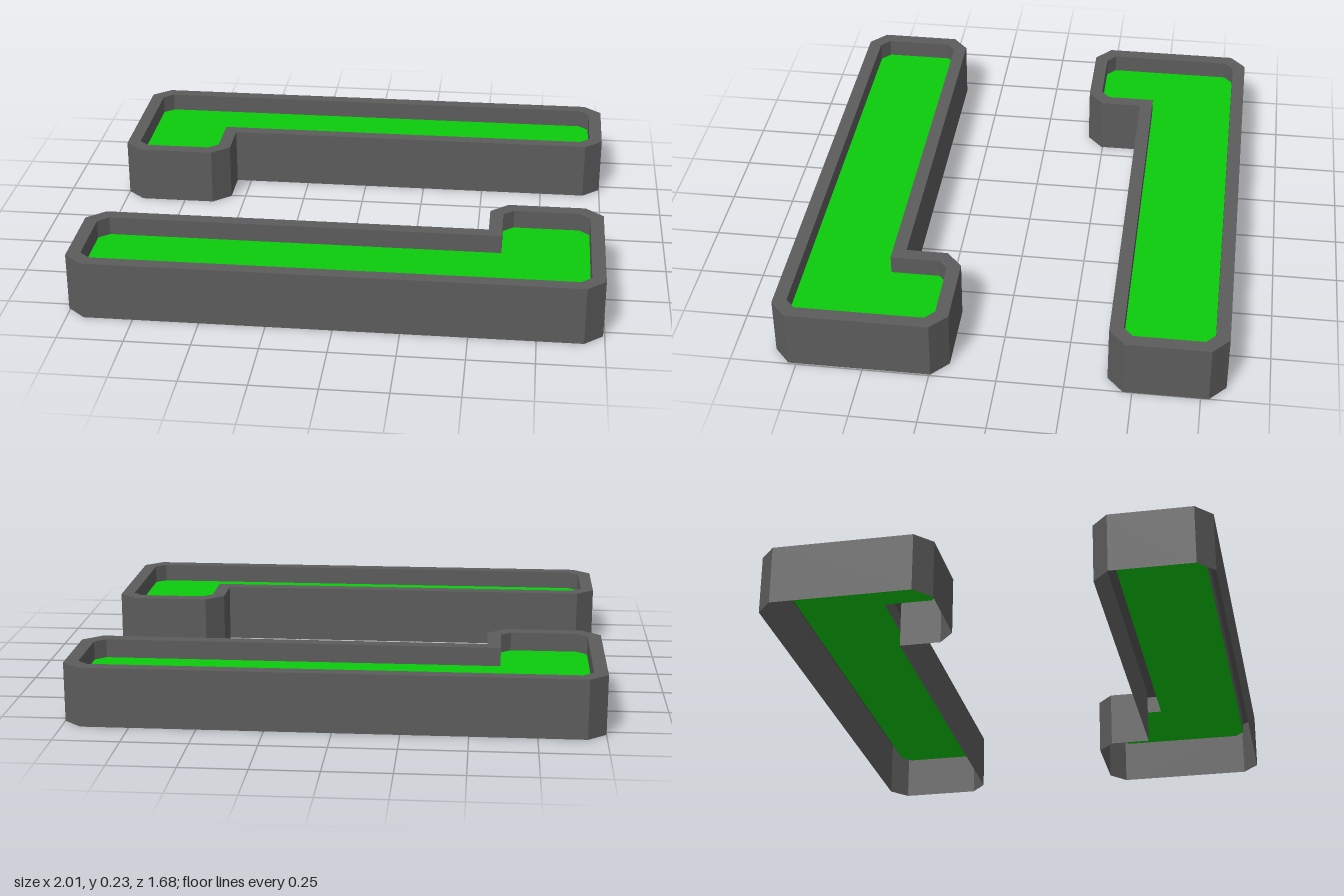
import * as THREE from 'three';

const HEIGHT = 0.227, FLOOR = 0.155;

// L-shaped outline with chamfered convex corners, as [x, z] points
function outline(inset, cx, cz) {
  const x0 = -1 + inset, x1 = 1 - inset, step = -0.56 - inset;
  const zBack = -0.842 + inset, zMid = -0.405 - inset, zEnd = -0.183 - inset;
  return [
    [x0 + cx, zBack], [x1 - cx, zBack], [x1, zBack + cz],
    [x1, zMid - cz], [x1 - cx, zMid], [step, zMid],
    [step, zEnd - cz], [step - cx, zEnd], [x0 + cx, zEnd],
    [x0, zEnd - cz], [x0, zBack + cz],
  ];
}

// Joins successive loops of equal length with flat-faced bands
function bands(loops) {
  const pos = [];
  for (let k = 0; k + 1 < loops.length; k++) {
    const low = loops[k], high = loops[k + 1];
    for (let i = 0; i < low.length; i++) {
      const j = (i + 1) % low.length;
      pos.push(...low[i], ...high[i], ...high[j], ...low[i], ...high[j], ...low[j]);
    }
  }
  const geometry = new THREE.BufferGeometry();
  geometry.setAttribute('position', new THREE.Float32BufferAttribute(pos, 3));
  geometry.computeVertexNormals();
  return geometry;
}

export function createModel() {
  const stone = new THREE.MeshStandardMaterial({ name: 'stone grey', color: 0x5c5c5c, side: THREE.DoubleSide });
  const grass = new THREE.MeshStandardMaterial({ name: 'grass green', color: 0x0ccc0c, side: THREE.DoubleSide });

  const outer = outline(0, 0.07, 0.062);
  const inner = outline(0.052, 0.04, 0.035);
  const at = (points, y) => points.map(([x, z]) => [x, y, z]);

  // Outer wall, flat rim and inner lip; open underneath
  const curbGeometry = bands([at(outer, 0), at(outer, HEIGHT), at(inner, HEIGHT), at(inner, FLOOR)]);

  // Sunken lawn inside the lip
  const lawnShape = new THREE.Shape(inner.map(([x, z]) => new THREE.Vector2(x, -z)));
  const lawnGeometry = new THREE.ShapeGeometry(lawnShape).rotateX(-Math.PI / 2).translate(0, FLOOR, 0);

  function planter(name) {
    const group = new THREE.Group();
    group.name = name;
    const curb = new THREE.Mesh(curbGeometry, stone);
    curb.name = 'curb';
    const lawn = new THREE.Mesh(lawnGeometry, grass);
    lawn.name = 'lawn';
    group.add(curb, lawn);
    return group;
  }

  // Two beds, the front one turned half way round
  const back = planter('backPlanter');
  const front = planter('frontPlanter');
  front.rotation.y = Math.PI;
  front.position.x = -0.006;

  const model = new THREE.Group();
  model.name = 'planterPair';
  model.add(back, front);
  return model;
}
